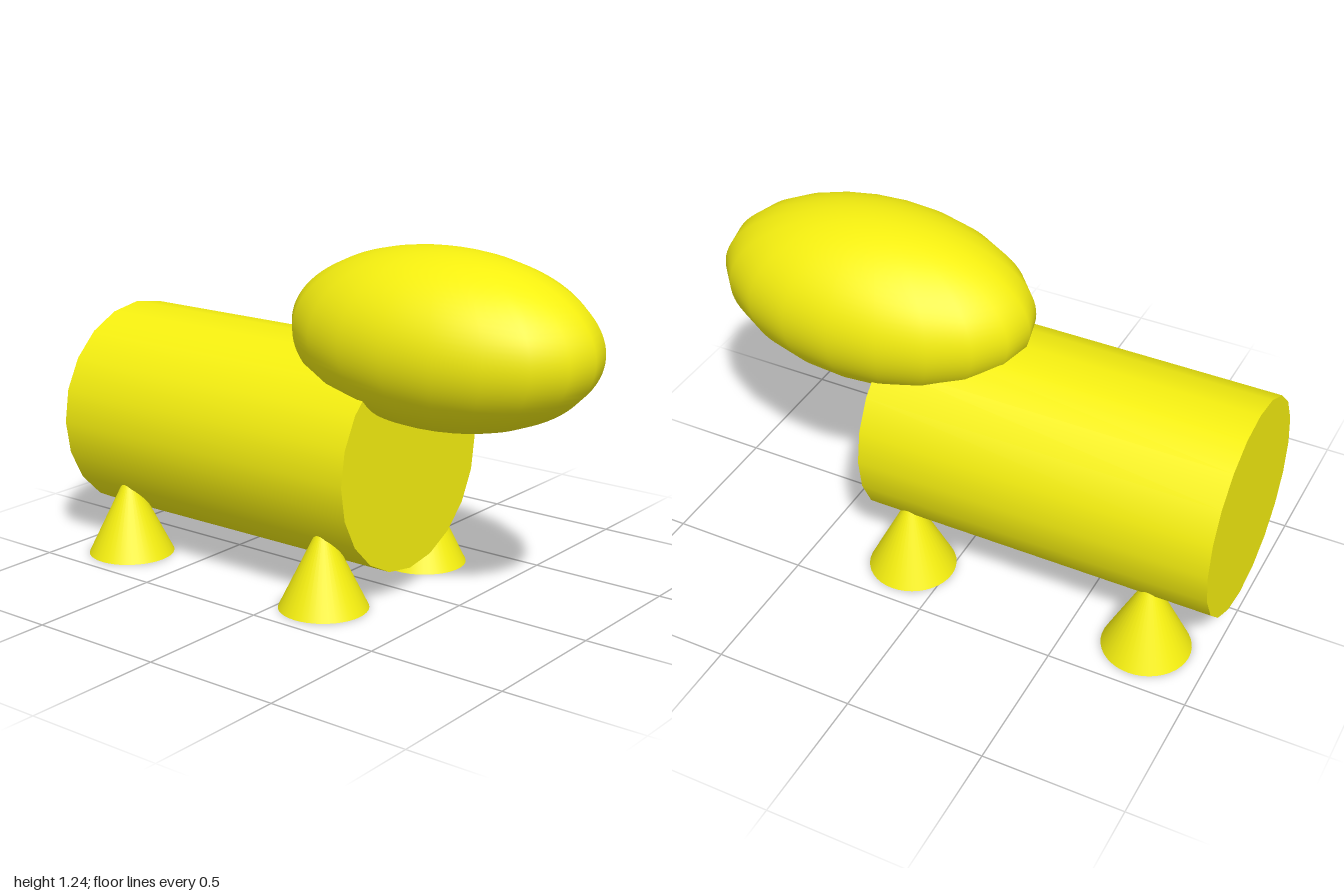
import * as THREE from 'three';

export function createModel() {
  const model = new THREE.Group();
  model.name = 'animal';
  const yellow = new THREE.MeshStandardMaterial({ color: 0xf5ef10 });

  const add = (name, geometry, x, y, z) => {
    const mesh = new THREE.Mesh(geometry, yellow);
    mesh.name = name;
    mesh.position.set(x, y, z);
    model.add(mesh);
  };

  // Barrel body lying along z
  const body = new THREE.CylinderGeometry(0.39, 0.39, 1.29, 20).rotateX(Math.PI / 2);
  add('body', body, 0, 0.48, -0.355);

  // Long egg-shaped head resting on the front of the body
  const head = new THREE.SphereGeometry(1, 20, 48).scale(0.355, 0.305, 0.587);
  add('head', head, 0, 0.93, 0.413);

  // Four cone legs, their tips sunk into the body
  const leg = new THREE.ConeGeometry(0.157, 0.32, 40);
  for (const [end, z] of [['front', 0.138], ['back', -0.775]]) {
    for (const [side, s] of [['Left', 1], ['Right', -1]]) {
      add(`${end}${side}Leg`, leg, s * 0.293, 0.16, z);
    }
  }

  return model;
}
